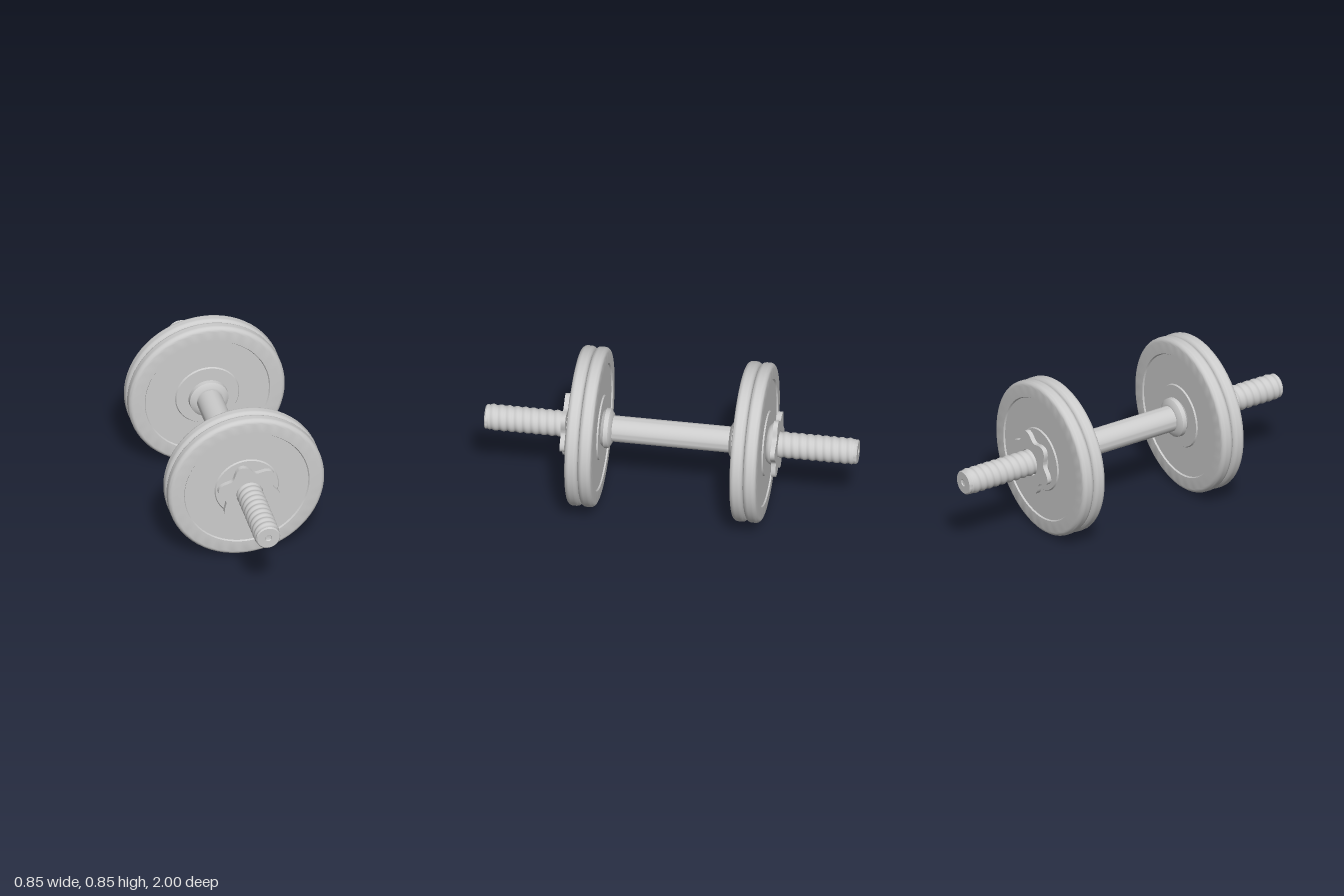
import * as THREE from 'three';
import { toCreasedNormals } from 'three/addons/utils/BufferGeometryUtils.js';

const material = new THREE.MeshStandardMaterial({ color: 0xcccccc });
const PLATE_R = 0.427;

function mesh(name, geometry) {
  const m = new THREE.Mesh(geometry, material);
  m.name = name;
  return m;
}

// Turned part around the z axis; profile is [radius, z] from low z to high z
function turned(name, profile, segments = 64) {
  const geo = new THREE.LatheGeometry(profile.map(([r, z]) => new THREE.Vector2(r, z)), segments);
  geo.rotateX(Math.PI / 2);
  return mesh(name, toCreasedNormals(geo, 0.6));
}

// Weight plate: rounded rim, recessed web and raised hub on both faces
function plate(z) {
  const h = 0.036, round = 0.026, step = 0.008;
  const half = [[0.06, h], [0.17, h], [0.175, h - step], [0.337, h - step], [0.342, h]];
  for (let i = 0; i <= 6; i++) {
    const a = (i / 6) * Math.PI / 2;
    half.push([PLATE_R - round + round * Math.sin(a), h - round + round * Math.cos(a)]);
  }
  const back = half.map(([r, y]) => [r, -y]);
  const part = turned('weightPlate', [...back, ...half.reverse()]);
  part.position.z = z;
  return part;
}

// Threaded end: a cylinder whose radius follows a helix
function thread(z0, z1) {
  const pitch = 0.043, length = z1 - z0;
  const geo = new THREE.CylinderGeometry(1, 1, length, 48, 110, true);
  geo.rotateX(Math.PI / 2);
  geo.translate(0, 0, (z0 + z1) / 2);
  const p = geo.attributes.position;
  for (let i = 0; i < p.count; i++) {
    const x = p.getX(i), y = p.getY(i), z = p.getZ(i);
    const phase = 2 * Math.PI * z / pitch - Math.atan2(y, x);
    const fade = Math.min(1, (z1 - z) / 0.015);
    const r = 0.065 + 0.006 * fade * Math.pow(0.5 + 0.5 * Math.cos(phase), 0.7);
    p.setXY(i, x * r, y * r);
  }
  // Average across the seam so shading stays smooth
  geo.computeVertexNormals();
  const n = geo.attributes.normal, row = 49;
  for (let i = 0; i < n.count; i += row) {
    const a = new THREE.Vector3().fromBufferAttribute(n, i);
    a.add(new THREE.Vector3().fromBufferAttribute(n, i + row - 1)).normalize();
    n.setXYZ(i, a.x, a.y, a.z);
    n.setXYZ(i + row - 1, a.x, a.y, a.z);
  }
  return mesh('thread', geo);
}

// Six-lobed star nut
function starNut() {
  const points = [];
  for (let i = 0; i < 120; i++) {
    const a = (i / 120) * Math.PI * 2;
    const r = 0.154 + 0.022 * Math.cos(6 * (a - THREE.MathUtils.degToRad(104)));
    points.push(new THREE.Vector2(r * Math.cos(a), r * Math.sin(a)));
  }
  const shape = new THREE.Shape(points);
  shape.holes.push(new THREE.Path().absarc(0, 0, 0.073, 0, Math.PI * 2, true));
  const geo = new THREE.ExtrudeGeometry(shape, { depth: 0.025, bevelEnabled: false, curveSegments: 24 });
  geo.translate(0, 0, 0.552);
  return mesh('starNut', toCreasedNormals(geo, 0.6));
}

// One end of the dumbbell, facing +z
function endAssembly() {
  const end = new THREE.Group();
  end.add(
    plate(0.407),
    plate(0.479),
    turned('innerCollar', [[0.068, 0.315], [0.08, 0.315], [0.105, 0.332], [0.107, 0.355], [0.09, 0.373], [0.06, 0.373]], 48),
    turned('nutFlange', [[0.068, 0.513], [0.085, 0.513], [0.098, 0.519], [0.11, 0.534], [0.114, 0.553], [0.068, 0.553]], 48),
    starNut(),
    thread(0.5, 0.982),
    // End cap with a small centre dimple
    turned('endCap', [[0.065, 0.982], [0.066, 0.993], [0.06, 1], [0.019, 1], [0.016, 0.994], [0, 0.99]], 48)
  );
  return end;
}

export function createModel() {
  const model = new THREE.Group();
  model.name = 'dumbbell';

  const body = new THREE.Group();
  body.name = 'assembly';
  body.position.y = PLATE_R;
  model.add(body);

  // Smooth grip bar between the two ends
  body.add(turned('handle', [[0.07, -0.51], [0.07, 0.51]], 48));

  const front = endAssembly();
  front.name = 'frontEnd';
  const back = endAssembly();
  back.name = 'backEnd';
  back.rotation.y = Math.PI;
  body.add(front, back);

  return model;
}
